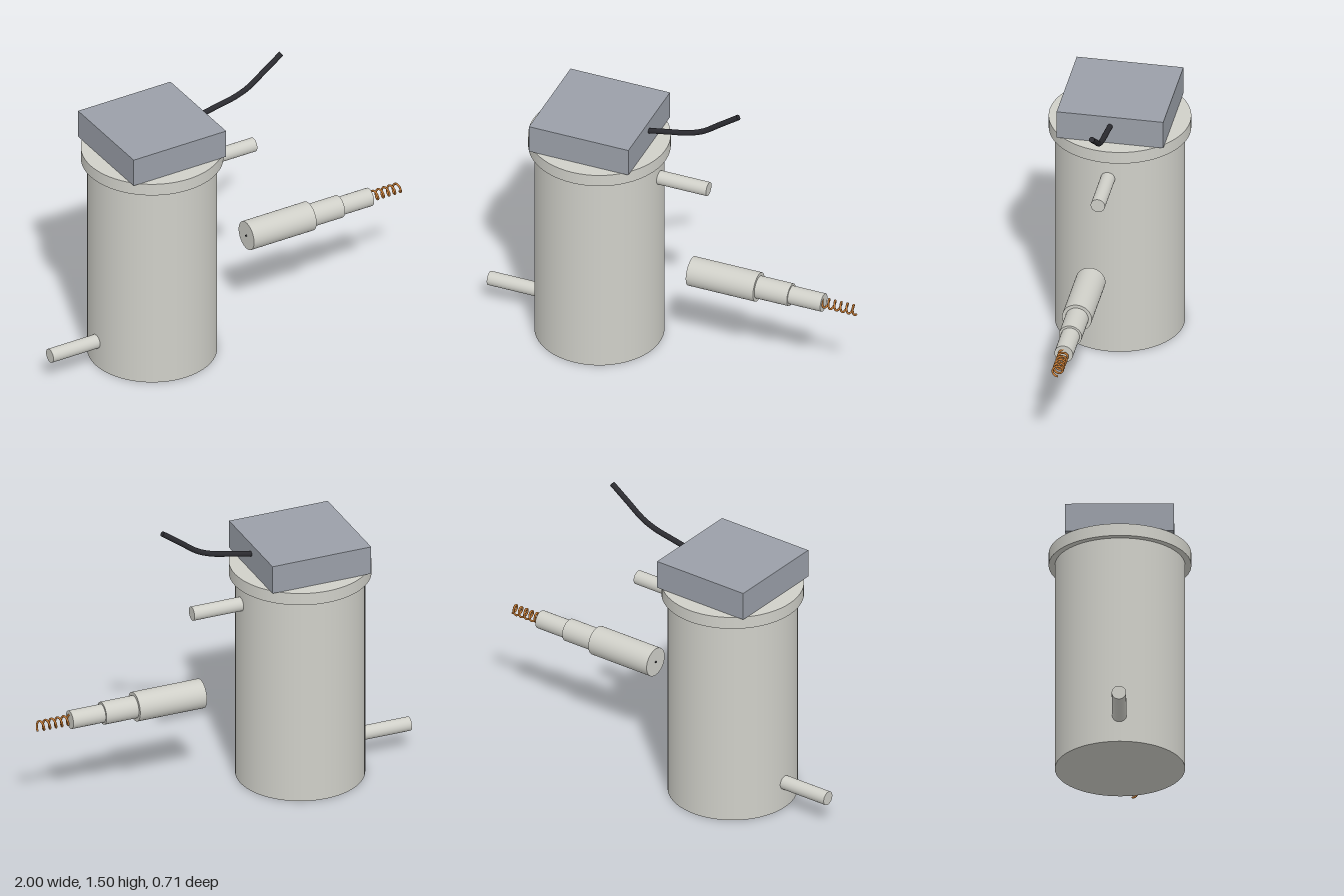
import * as THREE from 'three';

const mat = (name, color) => {
  const m = new THREE.MeshStandardMaterial({ color });
  m.name = name;
  return m;
};

export function createModel() {
  const model = new THREE.Group();
  model.name = 'filterVessel';
  const steel = mat('pale steel', 0xcfcfc8);
  const grey = mat('blue grey', 0x9a9fa8);
  const black = mat('cable black', 0x2b2b30);
  const copper = mat('copper', 0xc47a35);

  const add = (parent, name, geometry, material, x = 0, y = 0, z = 0) => {
    const mesh = new THREE.Mesh(geometry, material);
    mesh.name = name;
    mesh.position.set(x, y, z);
    parent.add(mesh);
    return mesh;
  };
  // Upright cylinder between two heights
  const upright = (name, r, y0, y1, x) =>
    add(model, name, new THREE.CylinderGeometry(r, r, y1 - y0, 64), steel, x, (y0 + y1) / 2);
  // Cylinder lying along x between two positions
  const rod = (parent, name, r, x0, x1, y, z, material = steel) =>
    add(parent, name, new THREE.CylinderGeometry(r, r, x1 - x0, 40).rotateZ(-Math.PI / 2),
      material, (x0 + x1) / 2, y, z);

  // Vessel with flange and control box
  const cx = -0.408;
  upright('vesselBody', 0.324, 0, 1.115, cx);
  upright('topFlange', 0.355, 1.115, 1.18, cx);
  add(model, 'controlBox', new THREE.BoxGeometry(0.535, 0.15, 0.54), grey, cx, 1.255, 0);

  // Inlet and outlet pipes
  rod(model, 'outletPipe', 0.036, -0.12, 0.18, 1.005, 0);
  rod(model, 'inletPipe', 0.036, -1, -0.7, 0.143, 0);

  // Cable leaving the box and bending upwards
  const cablePath = new THREE.CatmullRomCurve3([
    [-0.145, 1.274], [-0.04, 1.295], [0.07, 1.318], [0.15, 1.35], [0.24, 1.414], [0.34, 1.486],
  ].map(([x, y]) => new THREE.Vector3(x, y, 0)));
  add(model, 'cable', new THREE.TubeGeometry(cablePath, 40, 0.014, 16), black);
  for (const [t, turn] of [[0, -1], [1, 1]]) {
    const cap = add(model, 'cableEnd', new THREE.CircleGeometry(0.014, 16), black);
    cap.position.copy(cablePath.getPointAt(t));
    cap.lookAt(cap.position.clone().addScaledVector(cablePath.getTangentAt(t), turn));
  }

  // Stepped probe lying beside the vessel
  const probe = new THREE.Group();
  probe.name = 'probe';
  probe.position.set(0, 0.52, 0.05);
  model.add(probe);
  rod(probe, 'probeHandle', 0.075, 0.108, 0.47, 0, 0);
  rod(probe, 'probeCollar', 0.058, 0.47, 0.645, 0, 0);
  rod(probe, 'probeNeck', 0.047, 0.645, 0.82, 0, 0);
  rod(probe, 'wireEnd', 0.005, 0.104, 0.11, 0, 0, black);

  // Copper spring at the probe tip
  const turns = 5.5;
  const helix = [];
  for (let i = 0; i <= turns * 16; i++) {
    const a = (i / 16) * Math.PI * 2;
    helix.push(new THREE.Vector3(0.815 + 0.18 * i / (turns * 16), 0.024 * Math.cos(a), 0.024 * Math.sin(a)));
  }
  const spring = new THREE.CatmullRomCurve3(helix);
  add(probe, 'spring', new THREE.TubeGeometry(spring, 240, 0.0055, 8), copper);
  const tip = add(probe, 'springTip', new THREE.SphereGeometry(0.0055, 8, 6), copper);
  tip.position.copy(helix[helix.length - 1]);

  return model;
}
